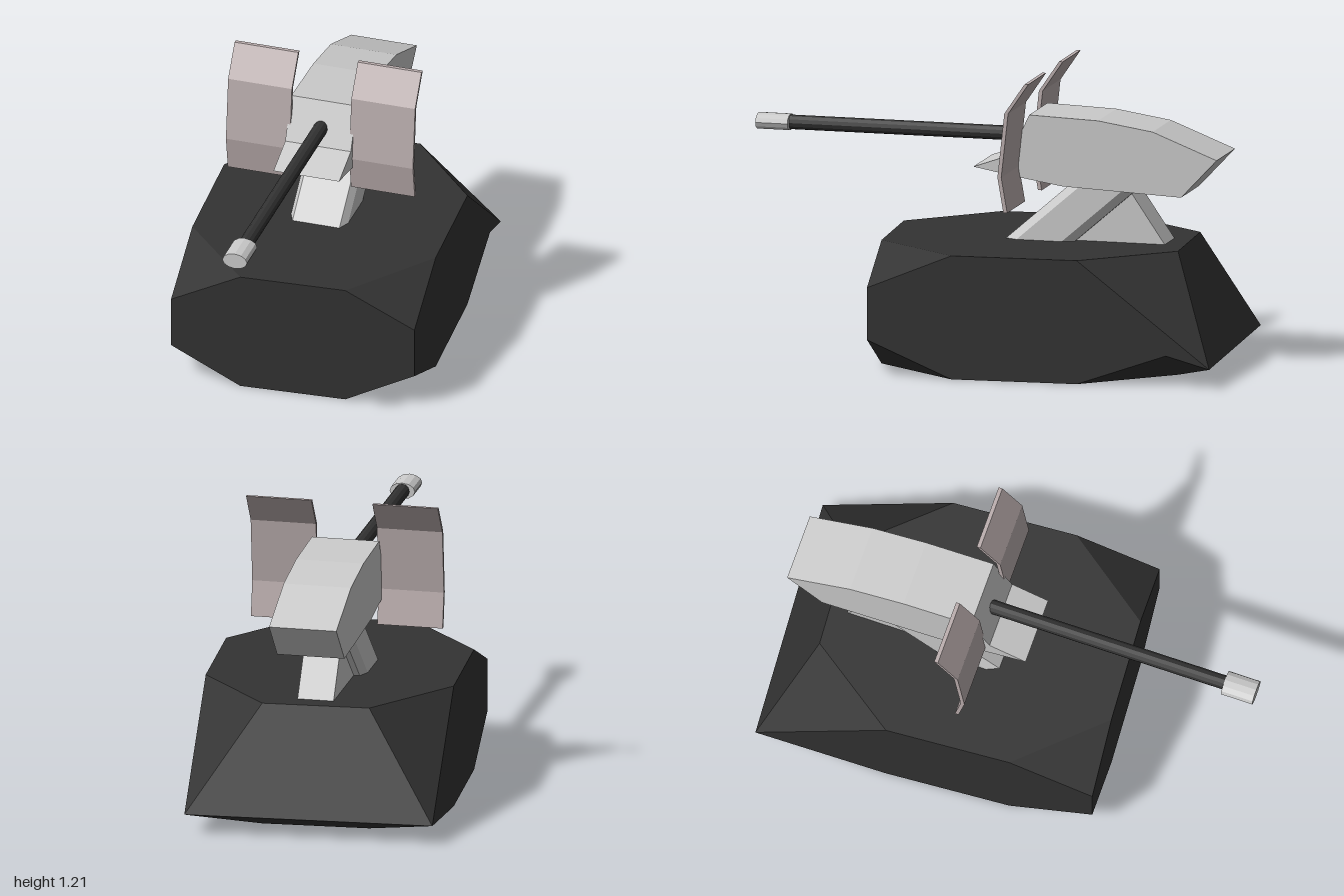
import * as THREE from 'three';

const mat = (color, extra = {}) => new THREE.MeshStandardMaterial({ color, flatShading: true, ...extra });
const grey = mat(0xcccccc);
const dark = mat(0x333333);
const plate = mat(0xbcafaf);

function mesh(name, geometry, material) {
  const m = new THREE.Mesh(geometry, material);
  m.name = name;
  return m;
}

// Side profile given as [z, y] points, extruded across x and centred there
function prism(profile, width) {
  const shape = new THREE.Shape(profile.map(([z, y]) => new THREE.Vector2(z, y)));
  const g = new THREE.ExtrudeGeometry(shape, { depth: width, bevelEnabled: false });
  return g.translate(0, 0, -width / 2).rotateY(-Math.PI / 2);
}

// Faceted block with cut corners and a wedge at the back, mirrored in x
function baseGeometry() {
  const half = [
    [0.22, 0.51, 0.42], [0.51, 0.365, 0.42], [0.51, 0.15, 0.42], [0.22, 0, 0.42],
    [0.51, 0.51, 0.07], [0.51, 0, 0.07], [0.51, 0.51, -0.45], [0.51, 0, -0.45],
    [0.22, 0.51, -0.81], [0.22, 0, -0.81], [0.51, 0.08, -1], [0.51, 0.13, -0.82],
  ];
  const n = half.length;
  const pts = [...half, ...half.map(([x, y, z]) => [-x, y, z])];
  const sideFaces = [
    [6, 4, 1, 2, 5, 7, 11, 10], // side
    [0, 1, 4], [3, 5, 2], // front corners
    [8, 6, 10], [9, 11, 7], [9, 10, 11], // back corners
  ];
  // Faces crossing the middle: listed on the right half, closed by their mirror
  const across = [
    [3, 2, 1, 0], // front
    [0, 4, 6, 8], // top
    [9, 7, 5, 3], // bottom
    [8, 10], // back slope
    [10, 9], // back underside
  ];
  const faces = [
    ...sideFaces,
    ...sideFaces.map((f) => f.map((i) => i + n).reverse()),
    ...across.map((f) => [...f, ...f.map((i) => i + n).reverse()]),
  ];
  const pos = [];
  for (const f of faces) {
    for (let i = 1; i < f.length - 1; i++) pos.push(...pts[f[0]], ...pts[f[i]], ...pts[f[i + 1]]);
  }
  const g = new THREE.BufferGeometry();
  g.setAttribute('position', new THREE.Float32BufferAttribute(pos, 3));
  g.computeVertexNormals();
  return g;
}

// Chamfered column leaning backwards
function legGeometry() {
  const w = 0.122, f = 0.1, front = -0.06, back = -0.35, c = 0.05;
  const plan = [[-f, front], [-w, front - c], [-w, back + c], [-f, back],
    [f, back], [w, back + c], [w, front - c], [f, front]];
  const shape = new THREE.Shape(plan.map(([x, z]) => new THREE.Vector2(x, -z)));
  const g = new THREE.ExtrudeGeometry(shape, { depth: 0.26, bevelEnabled: false });
  g.rotateX(-Math.PI / 2);
  const p = g.attributes.position;
  for (let i = 0; i < p.count; i++) p.setZ(i, p.getZ(i) - 1.15 * p.getY(i));
  g.translate(0, 0.5, 0);
  g.computeVertexNormals();
  return g;
}

export function createModel() {
  const model = new THREE.Group();
  model.name = 'gunTurret';
  model.add(mesh('base', baseGeometry(), dark));

  // Everything above the base is turned slightly to one side
  const turret = new THREE.Group();
  turret.name = 'turret';
  turret.position.x = -0.033;
  turret.rotation.y = -0.063;
  model.add(turret);

  turret.add(mesh('frontLeg', legGeometry(), grey));
  turret.add(mesh('rearLeg', prism([[-0.34, 0.5], [-0.57, 0.75], [-0.74, 0.5]], 0.15), grey));

  // Gun housing with pointed nose and slanted tail
  turret.add(mesh('housing', prism([
    [0.055, 0.805], [-0.1, 0.86], [-0.18, 1.03], [-0.47, 1.02], [-0.7, 0.985],
    [-0.97, 0.88], [-0.82, 0.72], [-0.32, 0.742], [-0.11, 0.775],
  ], 0.28), grey));

  // Bent shield plates
  const bend = [[-0.232, 1.205], [-0.147, 1.08], [-0.118, 0.815], [-0.143, 0.67]];
  const profile = [...bend, ...bend.map(([z, y]) => [z - 0.016, y]).reverse()];
  for (const [name, s] of [['leftShield', 1], ['rightShield', -1]]) {
    const shield = mesh(name, prism(profile, 0.272), plate);
    shield.position.x = s * 0.263;
    turret.add(shield);
  }

  // Barrel and flattened muzzle
  const barrel = mesh('barrel', new THREE.CylinderGeometry(0.03, 0.03, 1.05, 12).rotateX(Math.PI / 2), dark);
  barrel.position.set(0, 0.925, 0.355);
  const muzzle = mesh('muzzle', new THREE.CylinderGeometry(0.034, 0.034, 0.135, 12).rotateX(Math.PI / 2).scale(1.55, 1, 1), grey);
  muzzle.position.set(0, 0.925, 0.931);
  turret.add(barrel, muzzle);

  return model;
}
